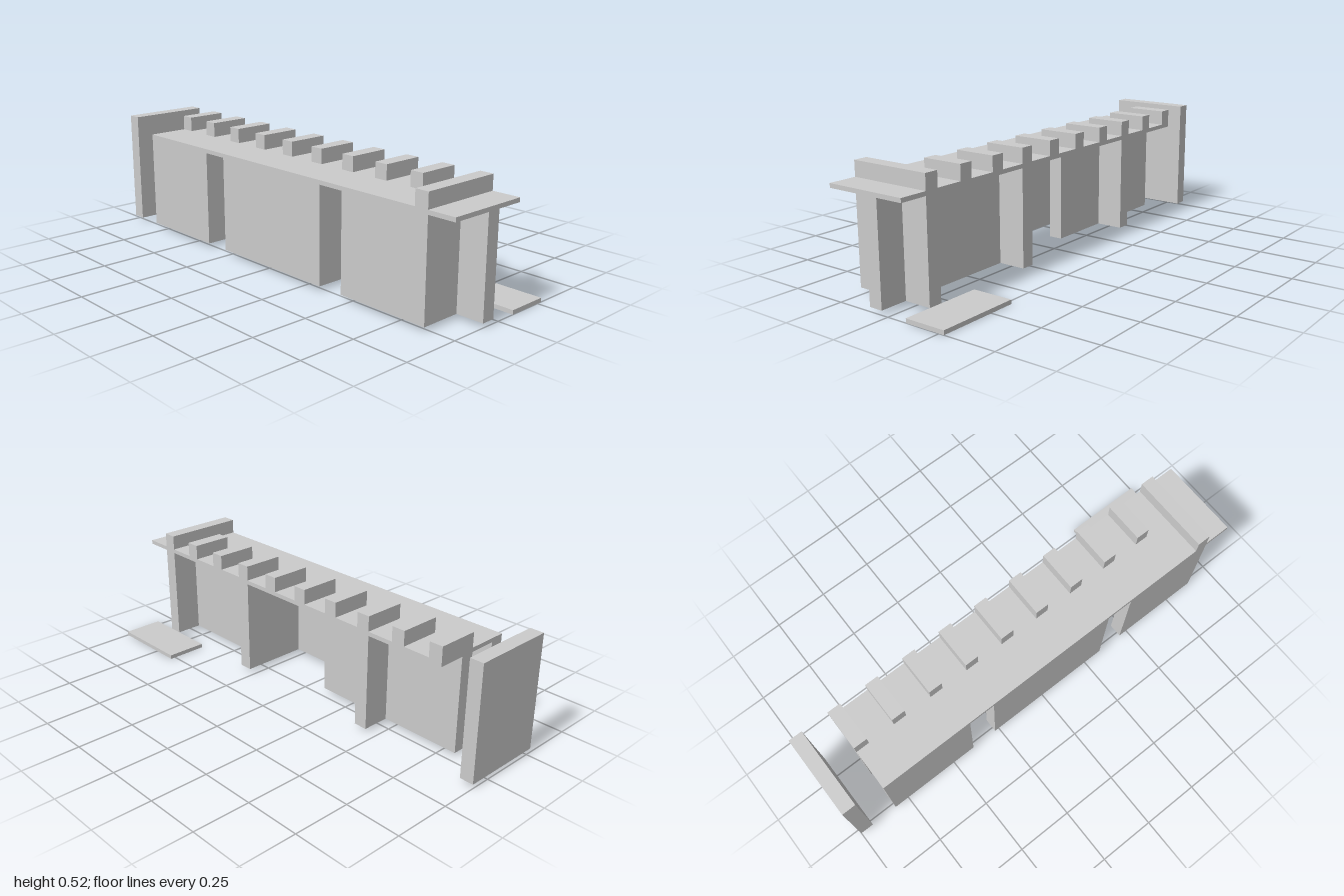
import * as THREE from 'three';

export function createModel() {
  const model = new THREE.Group();
  const material = new THREE.MeshStandardMaterial({ color: 0xcccccc, flatShading: true });

  // Box given by its limits on each axis
  const block = (name, [x0, x1], [y0, y1], [z0, z1]) => {
    const mesh = new THREE.Mesh(new THREE.BoxGeometry(x1 - x0, y1 - y0, z1 - z0), material);
    mesh.position.set((x0 + x1) / 2, (y0 + y1) / 2, (z0 + z1) / 2);
    mesh.name = name;
    model.add(mesh);
  };

  const T = 0.0606; // wall thickness
  const full = [-0.273, 0.091];
  const outer = [-0.273, -0.273 + T];
  const spine = [-0.091, -0.091 + T];
  const wallY = [0.018, 0.437];
  const toothY = [0.455, 0.52];

  // Long roof slab
  block('roofSlab', full, [0.437, 0.455], [-0.818, 1]);

  // Row of short blocks on the roof
  for (let i = 0; i < 9; i++) {
    const z = -0.818 + i * 0.1818;
    block('roofBlock', [-0.091, 0.091], toothY, [z, z + T]);
  }

  // Full-width parapet above the front cross wall
  block('parapet', full, toothY, [0.818, 0.818 + T]);

  // Cross walls
  for (const z of [-0.455, 0.273, 0.818]) block('crossWall', full, wallY, [z, z + T]);

  // Outer wall, split by two doorways
  for (const span of [[-0.818, -0.394], [-0.273, 0.333], [0.455, 0.879]]) {
    block('outerWall', outer, wallY, span);
  }

  // Central spine wall, open in the middle room
  for (const span of [[-0.818, -0.091], [0.273, 1]]) block('spineWall', spine, wallY, span);

  // Free-standing end wall and low ground plate
  block('endWall', full, [0.018, 0.52], [-1, -1 + T]);
  block('groundPlate', [0.091, 0.273], [0, 0.018], [0.636, 1]);

  return model;
}
